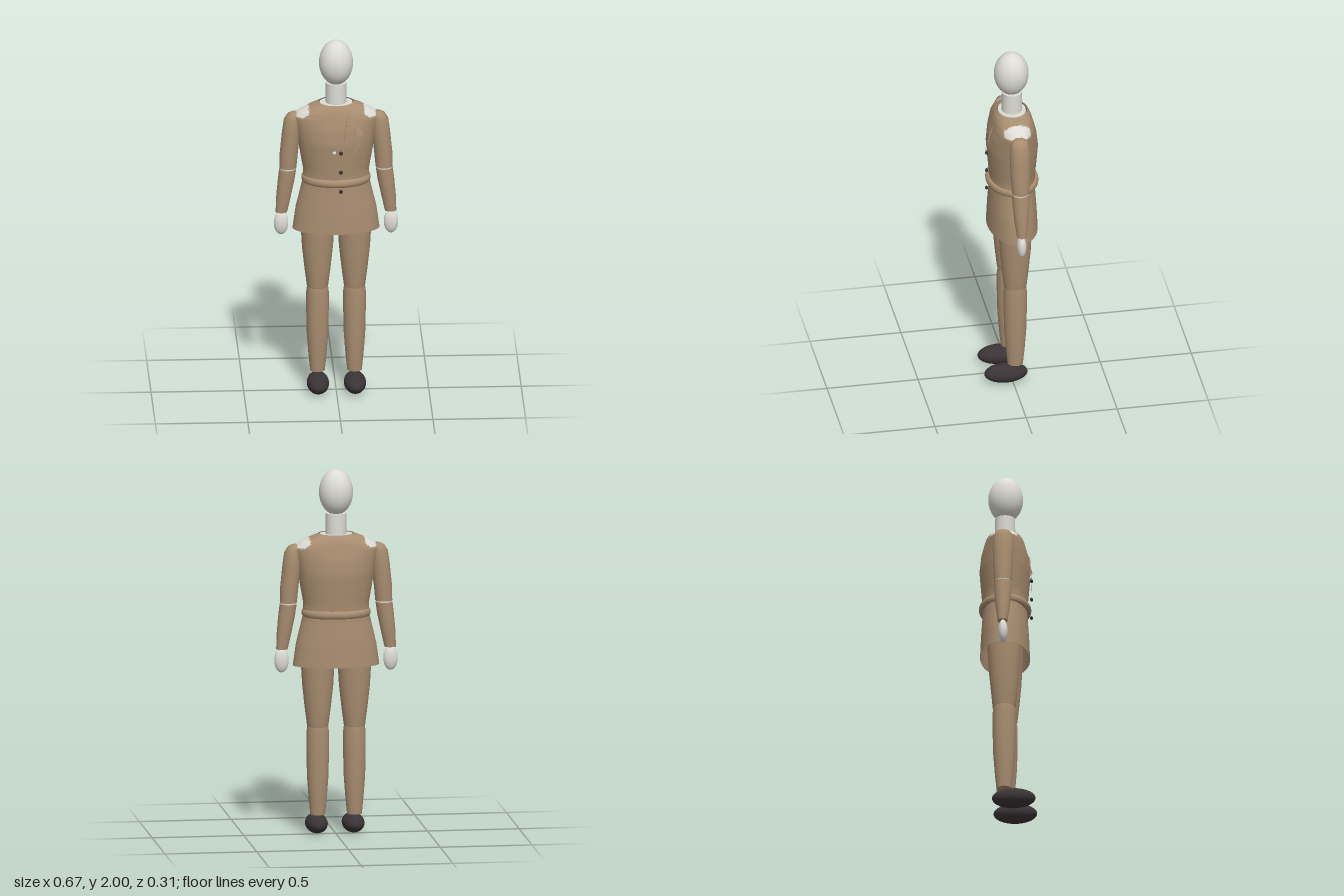
import * as THREE from 'three';

const khaki = new THREE.MeshStandardMaterial({ color: 0xa88d70, side: THREE.DoubleSide });
khaki.name = 'khaki cloth';
const pale = new THREE.MeshStandardMaterial({ color: 0xdcdbd4, side: THREE.DoubleSide });
pale.name = 'pale grey body';
const dark = new THREE.MeshStandardMaterial({ color: 0x3b3436 });
dark.name = 'dark leather';

const CZ = -0.015; // depth of the body axis

// Skin elliptical rings [y, rx, rz, cx, cz], listed from bottom to top.
// Triangles chosen by the test go to a second material group.
function loft(rings, { seg = 40, sub = 1, capped = true, test = null } = {}) {
  const rows = [];
  rings.forEach((r, i) => {
    const a = [r[0], r[1], r[2], r[3] ?? 0, r[4] ?? CZ];
    if (i > 0) {
      const p = rows[rows.length - 1].slice();
      for (let s = 1; s < sub; s++) rows.push(p.map((v, k) => THREE.MathUtils.lerp(v, a[k], s / sub)));
    }
    rows.push(a);
  });
  if (capped) {
    const tip = (r) => [r[0], 0.0001, 0.0001, r[3], r[4]];
    const first = rows[0], last = rows[rows.length - 1];
    rows.unshift(tip(first), first); // a repeated ring keeps the rim sharp
    rows.push(last, tip(last));
  }
  const pos = [];
  for (const [y, rx, rz, cx, cz] of rows)
    for (let j = 0; j < seg; j++) {
      const t = (j / seg) * Math.PI * 2;
      pos.push(cx + rx * Math.cos(t), y, cz + rz * Math.sin(t));
    }
  const main = [], second = [];
  const add = (...tri) => {
    const c = [0, 1, 2].map((k) => tri.reduce((s, v) => s + pos[v * 3 + k], 0) / 3);
    (test && test(...c) ? second : main).push(...tri);
  };
  for (let i = 0; i < rows.length - 1; i++)
    for (let j = 0; j < seg; j++) {
      const k = (j + 1) % seg;
      const a = i * seg + j, b = i * seg + k, c = a + seg, d = b + seg;
      add(a, c, b);
      add(b, c, d);
    }
  const g = new THREE.BufferGeometry();
  g.setAttribute('position', new THREE.Float32BufferAttribute(pos, 3));
  g.setIndex([...main, ...second]);
  if (test) {
    g.addGroup(0, main.length, 0);
    g.addGroup(main.length, second.length, 1);
  }
  g.computeVertexNormals();
  return g;
}

export function createModel() {
  const model = new THREE.Group();
  model.name = 'uniformedMannequin';
  const add = (name, geometry, material) => {
    const m = new THREE.Mesh(geometry, material);
    m.name = name;
    model.add(m);
    return m;
  };
  const ellipsoid = (name, material, c, r, w = 36, h = 24) => {
    const g = new THREE.SphereGeometry(1, w, h);
    g.scale(...r);
    g.translate(...c);
    return add(name, g, material);
  };

  // Head, neck and the body showing inside the collar
  ellipsoid('head', pale, [0, 1.875, -0.012], [0.092, 0.125, 0.094], 48, 32);
  add('neck', loft([[1.62, 0.056, 0.056], [1.76, 0.056, 0.054]]), pale);
  add('collarBase', loft([[1.63, 0.09, 0.075], [1.648, 0.09, 0.075]]), pale);

  // Coat, with the body showing through at the shoulders
  const worn = (x, y, z) => Math.abs(x) > 0.15 && y > 1.579 && Math.abs(z - CZ) < 0.073;
  add('coat', loft([
    [0.93, 0.235, 0.135], [1.05, 0.218, 0.13], [1.2, 0.182, 0.12], [1.27, 0.178, 0.124],
    [1.36, 0.194, 0.132], [1.44, 0.207, 0.138], [1.52, 0.222, 0.129], [1.575, 0.235, 0.114],
    [1.605, 0.2, 0.106], [1.63, 0.15, 0.096], [1.65, 0.095, 0.081],
  ], { seg: 72, sub: 4, capped: false, test: worn }), [khaki, pale]);

  // Rounded belt
  add('belt', loft([
    [1.195, 0.17, 0.115], [1.199, 0.181, 0.134], [1.208, 0.186, 0.14], [1.218, 0.187, 0.142],
    [1.228, 0.186, 0.14], [1.237, 0.181, 0.134], [1.241, 0.17, 0.115],
  ], { seg: 64, capped: false }), khaki);

  // Folded lapel on the left breast
  const flap = (name, pts) => {
    const g = new THREE.BufferGeometry();
    g.setAttribute('position', new THREE.Float32BufferAttribute(pts.flat(), 3));
    const index = [];
    for (let i = 1; i < pts.length - 1; i++) index.push(0, i, i + 1);
    g.setIndex(index);
    const flat = g.toNonIndexed();
    flat.computeVertexNormals();
    add(name, flat, khaki);
  };
  flap('lapelEdge', [[0.063, 1.64, 0.068], [0.033, 1.445, 0.125], [0.05, 1.55, 0.118]]);
  flap('lapelFold', [[0.065, 1.63, 0.075], [0.085, 1.53, 0.122], [0.1, 1.57, 0.108]]);
  flap('lapelPoint', [[0.09, 1.575, 0.105], [0.085, 1.46, 0.124], [0.115, 1.49, 0.128], [0.143, 1.51, 0.122]]);
  flap('lapelLower', [[0.143, 1.51, 0.122], [0.025, 1.28, 0.122], [0.12, 1.445, 0.124]]);

  // Buttons down the front
  for (const y of [1.4, 1.29, 1.18]) ellipsoid('button', dark, [0.02, y, 0.127], [0.011, 0.011, 0.008], 16, 12);
  ellipsoid('paleButton', pale, [-0.015, 1.4, 0.122], [0.01, 0.01, 0.007], 16, 12);

  for (const s of [1, -1]) {
    const side = s > 0 ? 'left' : 'right';

    // Arm
    add(side + 'UpperArm', loft([
      [1.275, 0.046, 0.047, s * 0.26], [1.36, 0.049, 0.053, s * 0.255], [1.48, 0.05, 0.056, s * 0.242],
      [1.55, 0.046, 0.052, s * 0.236], [1.58, 0.034, 0.04, s * 0.23], [1.592, 0.018, 0.022, s * 0.224],
    ]), khaki);
    add(side + 'Elbow', loft([[1.255, 0.042, 0.044, s * 0.26], [1.285, 0.042, 0.044, s * 0.26]]), pale);
    add(side + 'Forearm', loft([
      [1.02, 0.031, 0.027, s * 0.295], [1.1, 0.039, 0.037, s * 0.285],
      [1.2, 0.045, 0.046, s * 0.27], [1.267, 0.046, 0.048, s * 0.261],
    ]), khaki);
    ellipsoid(side + 'Hand', pale, [s * 0.297, 0.958, -0.013], [0.039, 0.066, 0.026]).name = side + 'Hand';

    // Leg
    const x = s * 0.1;
    add(side + 'Thigh', loft([
      [0.585, 0.052, 0.055, x], [0.6, 0.058, 0.062, x], [0.7, 0.071, 0.073, x],
      [0.82, 0.084, 0.084, x], [0.94, 0.091, 0.09, x], [1.03, 0.093, 0.092, x],
    ]), khaki);
    add(side + 'Shin', loft([
      [0.11, 0.04, 0.042, x], [0.2, 0.049, 0.051, x], [0.32, 0.058, 0.06, x],
      [0.45, 0.061, 0.063, x], [0.56, 0.061, 0.063, x], [0.598, 0.056, 0.058, x],
    ]), khaki);
    ellipsoid(side + 'Shoe', dark, [x, 0.053, 0.036], [0.06, 0.053, 0.118]);
  }
  return model;
}
